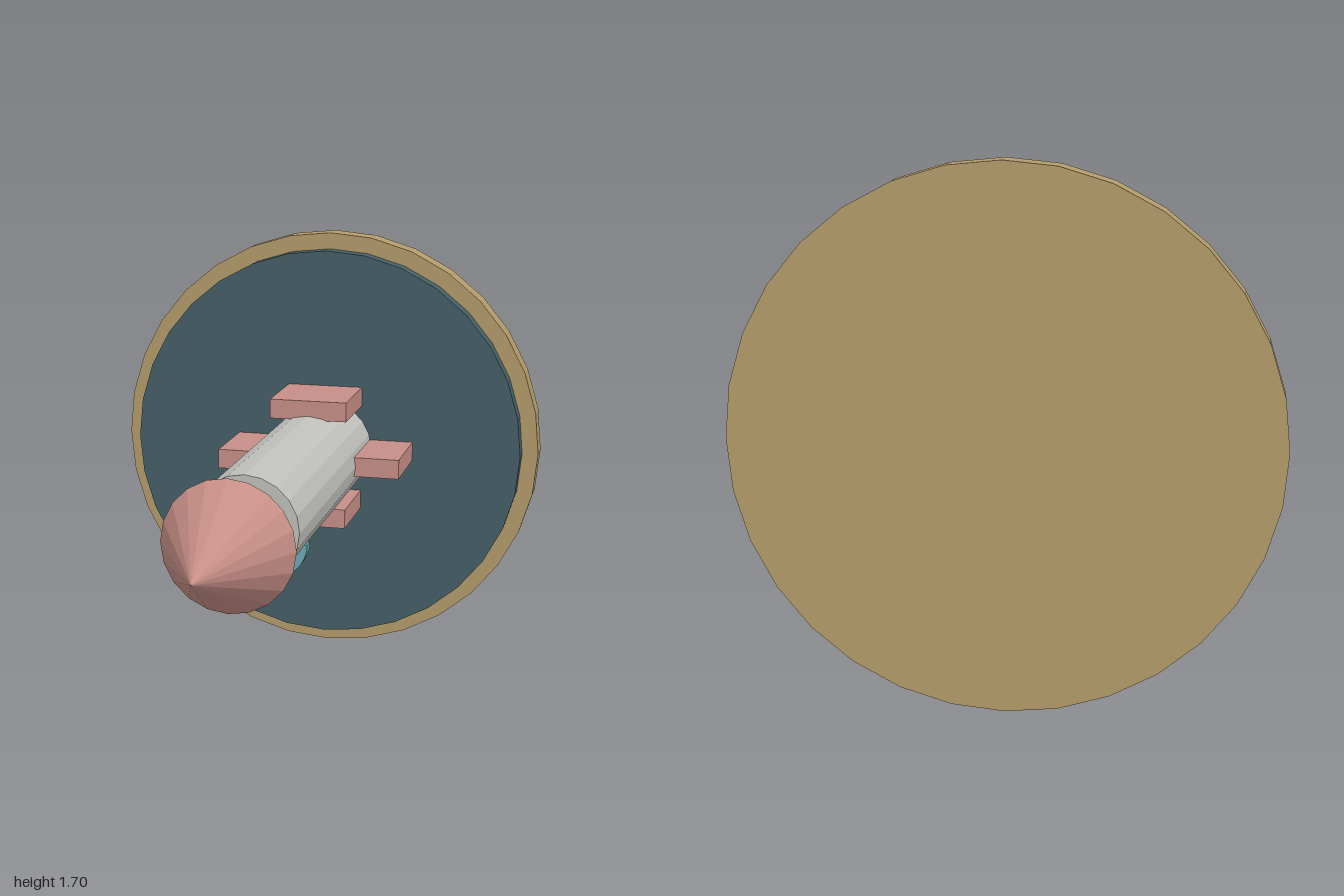
import * as THREE from 'three';

const AXIS_Y = 0.85;

function material(name, color) {
  const m = new THREE.MeshStandardMaterial({ color, flatShading: true });
  m.name = name;
  return m;
}

export function createModel() {
  const model = new THREE.Group();
  const gold = material('dull gold', 0xb39b6a);
  const teal = material('dark teal', 0x455f66);
  const rose = material('dusty rose', 0xc68e86);
  const grey = material('light grey', 0xc0c0bc);
  const cyan = material('soft cyan', 0x69a8b5);
  cyan.side = THREE.DoubleSide;

  function add(name, geometry, mat, x = 0, y = AXIS_Y, z = 0) {
    const mesh = new THREE.Mesh(geometry, mat);
    mesh.name = name;
    mesh.position.set(x, y, z);
    model.add(mesh);
    return mesh;
  }

  // Round part lying along z, from z0 (back) to z1 (front)
  function round(name, rFront, rBack, z0, z1, sides, mat) {
    const g = new THREE.CylinderGeometry(rFront, rBack, z1 - z0, sides).rotateX(Math.PI / 2);
    return add(name, g, mat, 0, AXIS_Y, (z0 + z1) / 2);
  }

  // Backing plate and inset face
  round('backPlate', 0.85, 0.85, -1, -0.9, 32, gold);
  round('facePlate', 0.787, 0.787, -0.9, -0.83, 32, teal);

  // Shaft and its separate pointed tip
  round('shaft', 0.19, 0.19, -0.83, 0.39, 20, grey);
  const tip = new THREE.ConeGeometry(0.23, 0.405, 20).rotateX(Math.PI / 2);
  add('tip', tip, rose, 0, AXIS_Y, 0.7975);

  // Four mounting blocks around the shaft
  const block = new THREE.BoxGeometry(0.3, 0.075, 0.305);
  for (const s of [1, -1]) {
    add(s > 0 ? 'topBlock' : 'bottomBlock', block, rose, 0, AXIS_Y + s * 0.212, -0.6775);
    add(s > 0 ? 'leftBlock' : 'rightBlock', block, rose, s * 0.208, AXIS_Y, -0.6775);
  }

  // Half-disc lug under the shaft
  const lug = new THREE.CylinderGeometry(0.13, 0.13, 0.05, 16, 1, false, -Math.PI / 2, Math.PI);
  add('lowerLug', lug.rotateX(Math.PI / 2), cyan, 0, 0.695, 0);

  return model;
}
